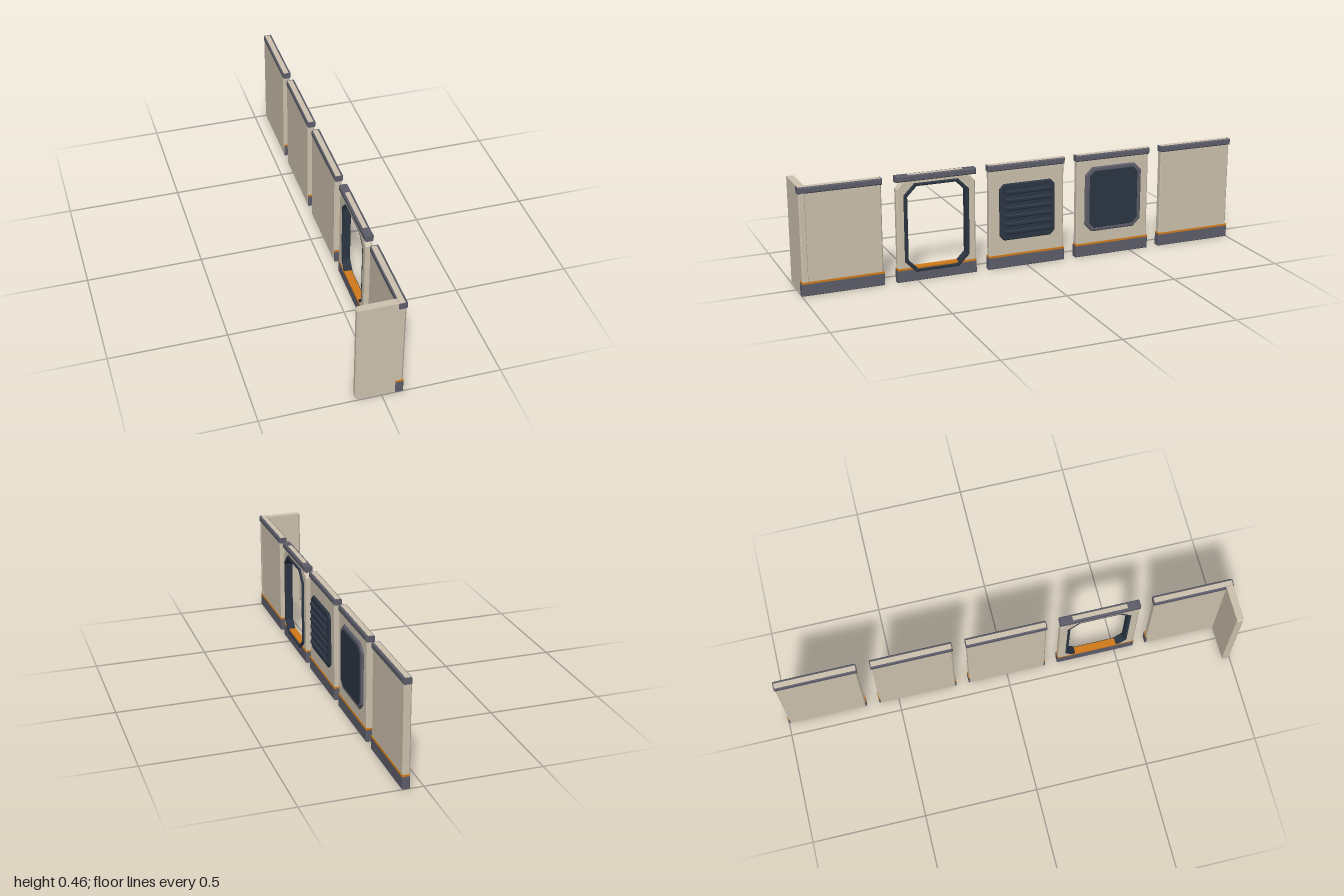
import * as THREE from 'three';

const mat = (name, color) => Object.assign(new THREE.MeshStandardMaterial({ color }), { name });

// Rectangle outline with cut corners, in the (z, y) plane
function outline(Type, half, y0, y1, cut) {
  const p = cut > 0
    ? [[-half + cut, y0], [half - cut, y0], [half, y0 + cut], [half, y1 - cut],
       [half - cut, y1], [-half + cut, y1], [-half, y1 - cut], [-half, y0 + cut]]
    : [[-half, y0], [half, y0], [half, y1], [-half, y1]];
  return new Type(p.map(([u, v]) => new THREE.Vector2(u, v)));
}

// Bevelled slab between x0 and x1, centred on z = 0, with an optional hole
function slab({ half, y, x, cut = 0, bevel = 0.004, hole }) {
  const shape = outline(THREE.Shape, half, y[0], y[1], cut);
  if (hole) shape.holes.push(outline(THREE.Path, hole.half, hole.y[0], hole.y[1], hole.cut));
  const geo = new THREE.ExtrudeGeometry(shape, {
    depth: x[1] - x[0] - 2 * bevel, bevelEnabled: bevel > 0, bevelThickness: bevel,
    bevelSize: bevel, bevelOffset: -bevel, bevelSegments: 1,
  });
  geo.translate(0, 0, x[0] + bevel);
  return geo.rotateY(Math.PI / 2);
}

export function createModel() {
  const model = new THREE.Group();
  model.name = 'wallPanelSet';
  const beige = mat('beigePanel', 0xcdc2ae);
  const grey = mat('greyTrim', 0x5c5d69);
  const navy = mat('darkNavy', 0x2b3543);
  const orange = mat('orangeStripe', 0xd27a1a);

  const add = (parent, name, material, spec) => {
    const mesh = new THREE.Mesh(slab(spec), material);
    mesh.name = name;
    parent.add(mesh);
    return mesh;
  };

  const STEP = 0.4112, HALF = 0.1775;
  const names = ['cornerPanel', 'doorPanel', 'ventPanel', 'windowPanel', 'plainPanel'];
  const panels = names.map((name, i) => {
    const g = new THREE.Group();
    g.name = name;
    g.position.z = STEP * (2 - i);
    model.add(g);
    const door = name === 'doorPanel';

    // Wall plate; the doorway one has cut corners and an opening
    add(g, 'wall', beige, door
      ? { half: 0.175, y: [0.002, 0.464], x: [0.057, 0.086], cut: 0.055, bevel: 0.005,
          hole: { half: 0.138, y: [0.046, 0.421], cut: 0.045 } }
      : { half: 0.1735, y: [0.002, 0.464], x: [0.054, 0.086], bevel: 0.005 });

    // Top rail, skirting and accent strip
    add(g, 'topRail', grey, { half: HALF, y: [0.437, 0.4635], x: [0.0535, 0.0905], bevel: 0.004 });
    add(g, 'skirting', grey, { half: HALF, y: [0, 0.053], x: [0.056, 0.089], bevel: 0.002 });
    add(g, 'accentStrip', orange, { half: 0.1765, y: [0.05, 0.06], x: [0.0565, 0.0885], bevel: 0 });
    return g;
  });
  const [corner, door, vent, win] = panels;

  // Return wall at the corner
  add(corner, 'returnWall', beige, { half: 0.0155, y: [0.002, 0.4635], x: [-0.108, 0.088], bevel: 0.007 })
    .position.z = 0.981 - 2 * STEP;

  // Doorway lining
  add(door, 'doorFrame', navy, {
    half: 0.144, y: [0.04, 0.427], x: [0.058, 0.094], cut: 0.048, bevel: 0.003,
    hole: { half: 0.129, y: [0.053, 0.415], cut: 0.042 },
  });

  // Vent with six slats
  add(vent, 'ventPlate', navy, { half: 0.128, y: [0.126, 0.377], x: [0.08, 0.097], cut: 0.02, bevel: 0.004 });
  for (let i = 0; i < 6; i++) {
    const y = 0.163 + i * 0.0356;
    add(vent, 'ventSlat', navy, { half: 0.107, y: [y - 0.0085, y + 0.0085], x: [0.09, 0.108], bevel: 0.004 });
  }

  // Window surround and pane
  add(win, 'windowFrame', grey, { half: 0.136, y: [0.113, 0.406], x: [0.08, 0.095], cut: 0.034, bevel: 0.005 });
  add(win, 'windowPane', navy, { half: 0.116, y: [0.131, 0.39], x: [0.085, 0.098], cut: 0.023, bevel: 0.002 });

  return model;
}
